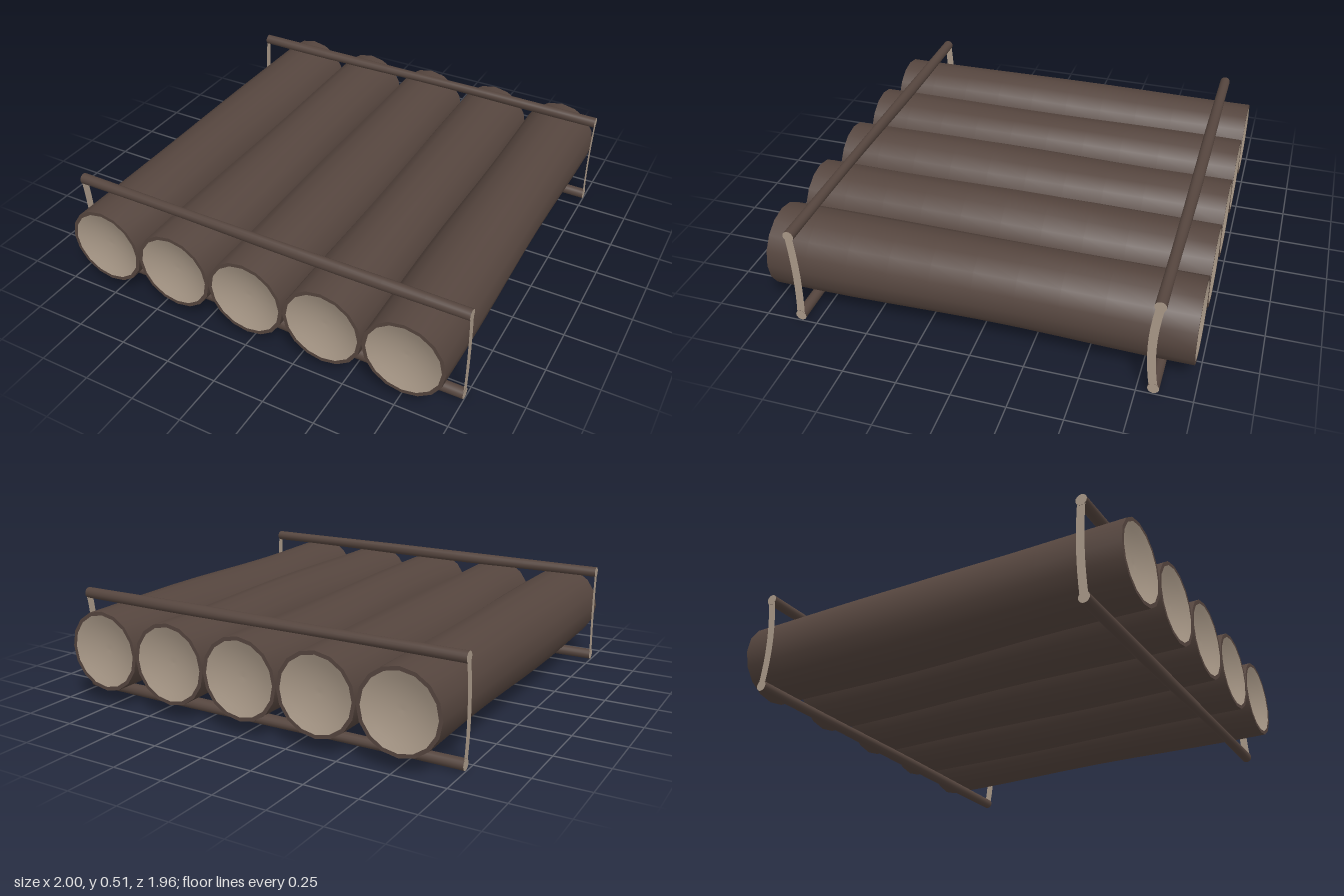
import * as THREE from 'three';

const bark = new THREE.MeshStandardMaterial({ color: 0x55453e });
bark.name = 'darkBark';
const wood = new THREE.MeshStandardMaterial({ color: 0xa99988 });
wood.name = 'paleWood';
const strap = new THREE.MeshStandardMaterial({ color: 0xa99988, side: THREE.DoubleSide });
strap.name = 'paleStrap';

const SIDES = 16;

// Open tube along z whose middle bends and bulges a little, its ends staying true
function roughTube(radius, length, bend, seed) {
  const geo = new THREE.CylinderGeometry(radius, radius, length, SIDES, 10, true);
  geo.rotateX(Math.PI / 2);
  const p = geo.attributes.position;
  for (let i = 0; i < p.count; i++) {
    const x = p.getX(i), y = p.getY(i), t = p.getZ(i) / length + 0.5;
    const a = Math.atan2(y, x), fade = Math.sin(Math.PI * t);
    const s = 1 + fade * bend * Math.sin(2 * a + seed * 2.1 + 5 * t);
    p.setXY(i,
      x * s + radius * bend * fade * Math.sin(4 * t + seed * 1.7),
      y * s + radius * bend * fade * 0.5 * Math.cos(5 * t + seed));
  }
  geo.computeVertexNormals();
  // Match the normals where the tube closes on itself
  const n = geo.attributes.normal;
  for (let r = 0; r <= 10; r++) {
    const i = r * (SIDES + 1), j = i + SIDES;
    const v = new THREE.Vector3().fromBufferAttribute(n, i)
      .add(new THREE.Vector3().fromBufferAttribute(n, j)).normalize();
    n.setXYZ(i, v.x, v.y, v.z);
    n.setXYZ(j, v.x, v.y, v.z);
  }
  return geo;
}

function add(group, geo, mat, name) {
  const mesh = new THREE.Mesh(geo, mat);
  mesh.name = name;
  group.add(mesh);
  return mesh;
}

// Log: bark tube, bark rims and slightly hollowed pale ends
function makeLog(seed) {
  const log = new THREE.Group();
  const R = 0.193, inner = 0.175, L = 1.96;
  add(log, roughTube(R, L, 0.035, seed), bark, 'logBark');
  const dish = [];
  for (let i = 0; i <= 5; i++) {
    const r = inner * i / 5;
    dish.push(new THREE.Vector2(r, -0.035 * (1 - (i / 5) ** 2)));
  }
  dish.reverse();
  for (const side of [1, -1]) {
    const end = new THREE.Group();
    end.name = 'logEnd';
    add(end, new THREE.RingGeometry(inner, R, SIDES), bark, 'barkRim');
    const face = add(end, new THREE.LatheGeometry(dish, SIDES), wood, 'cutFace');
    face.rotation.set(Math.PI / 2, Math.PI / 2, 0);
    end.position.z = side * L / 2;
    if (side < 0) end.rotation.y = Math.PI;
    log.add(end);
  }
  return log;
}

// Crossbar along x with pale cut ends
function makeBar(seed) {
  const bar = new THREE.Group();
  add(bar, roughTube(0.026, 2, 0.14, seed), bark, 'barBark');
  for (const side of [1, -1]) {
    const cap = add(bar, new THREE.CircleGeometry(0.026, SIDES), wood, 'barEnd');
    cap.position.z = side;
    if (side < 0) cap.rotation.y = Math.PI;
  }
  bar.rotation.y = Math.PI / 2;
  return bar;
}

// Flat strap in the yz plane, bowed slightly toward -z
function makeStrap(bow) {
  const shape = new THREE.Shape();
  const w = 0.019, y0 = 0.04, y1 = 0.48, mid = (y0 + y1) / 2;
  shape.moveTo(-w, y0);
  shape.quadraticCurveTo(-w + bow, mid, -w, y1);
  shape.lineTo(w, y1);
  shape.quadraticCurveTo(w + bow, mid, w, y0);
  const geo = new THREE.ShapeGeometry(shape, 8);
  geo.rotateY(Math.PI / 2);
  return geo;
}

export function createModel() {
  const raft = new THREE.Group();
  raft.name = 'logRaft';

  for (let i = 0; i < 5; i++) {
    const log = makeLog(i + 1);
    log.name = 'log';
    log.position.set((i - 2) * 0.387, 0.265, 0);
    raft.add(log);
  }

  for (const z of [0.825, -0.825]) {
    for (const y of [0.487, 0.035]) {
      const bar = makeBar(z > 0 ? 1 : 3);
      bar.name = y > 0.2 ? 'upperCrossbar' : 'lowerCrossbar';
      bar.position.set(0, y, z);
      raft.add(bar);
    }
    for (const side of [1, -1]) {
      // Straps lie in the plane of the bar ends
      const mesh = add(raft, makeStrap(z > 0 ? 0.02 : -0.04), strap, 'strap');
      mesh.position.set(side * 0.999, 0, z);
    }
  }
  return raft;
}
